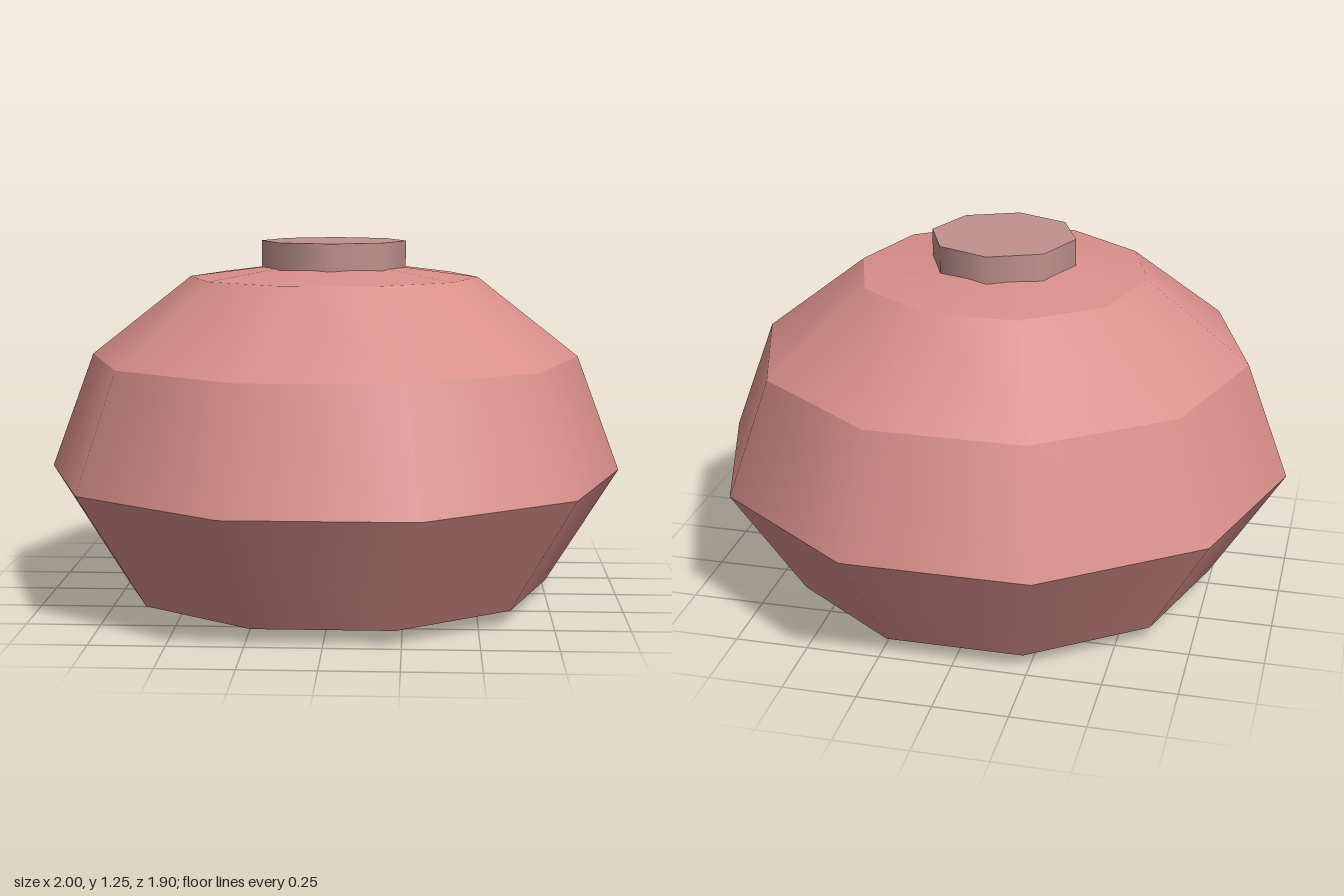
import * as THREE from 'three';

export function createModel() {
  const model = new THREE.Group();
  model.name = 'lowPolyVessel';

  const bodyColor = new THREE.MeshStandardMaterial({ color: 0xd98f8a });
  bodyColor.name = 'rose clay';
  const capColor = new THREE.MeshStandardMaterial({ color: 0xc0928d });
  capColor.name = 'dusty rose';

  // Ten-sided body: one band per profile step, smooth around, sharp between bands
  const profile = [[0, 0], [0.75, 0.05], [1, 0.45], [0.85, 0.85], [0.5, 1.125], [0, 1.19]]
    .map(([r, y]) => new THREE.Vector2(r, y));
  const bandNames = ['base', 'lowerBand', 'middleBand', 'upperBand', 'shoulder'];
  const body = new THREE.Group();
  body.name = 'body';
  bandNames.forEach((name, i) => {
    const band = new THREE.Mesh(
      new THREE.LatheGeometry([profile[i], profile[i + 1]], 10, Math.PI / 2), bodyColor);
    band.name = name;
    body.add(band);
  });
  model.add(body);

  // Eight-sided cap set into the shoulder
  const cap = new THREE.Mesh(new THREE.CylinderGeometry(0.25, 0.25, 0.1, 8), capColor);
  cap.name = 'cap';
  cap.position.y = 1.2;
  model.add(cap);

  return model;
}
